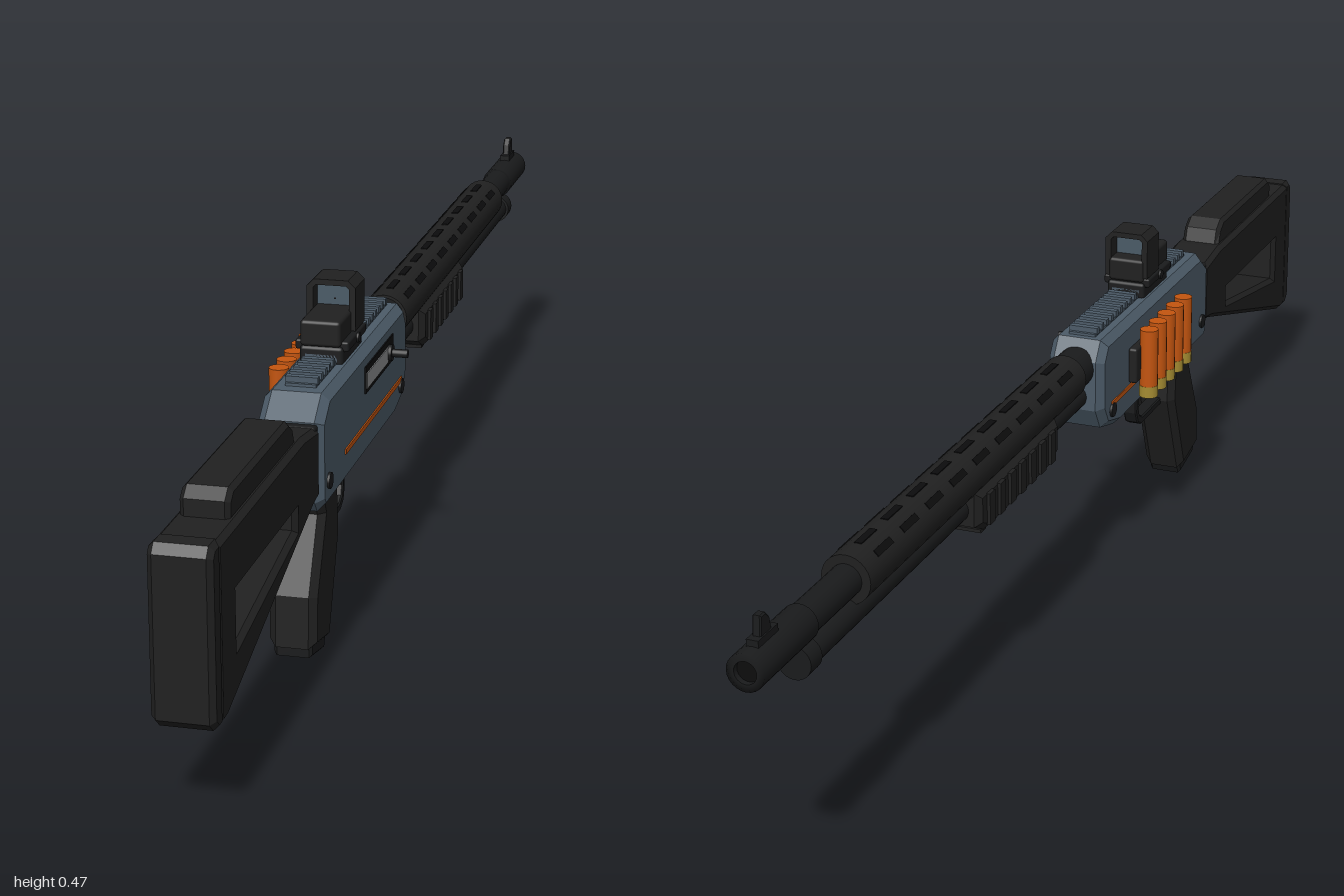
import * as THREE from 'three';
import { RoundedBoxGeometry } from 'three/addons/geometries/RoundedBoxGeometry.js';

const material = (name, color, side = THREE.FrontSide) => {
  const m = new THREE.MeshStandardMaterial({ color, side });
  m.name = name;
  return m;
};

export function createModel() {
  const gun = new THREE.Group();
  gun.name = 'shotgun';
  const polymer = material('black polymer', 0x202020);
  const metal = material('dark metal', 0x1a1b1c);
  const recess = material('recess black', 0x0c0c0d);
  const steel = material('blue grey steel', 0x4c5b68);
  const orange = material('orange', 0xc4550f);
  const brass = material('brass', 0xa58c32);
  const bolt = material('bright bolt', 0x8e9092);
  const glass = material('lens', 0x4a5a66);

  const add = (name, geometry, mat, x = 0, y = 0, z = 0) => {
    const mesh = new THREE.Mesh(geometry, mat);
    mesh.name = name;
    mesh.position.set(x, y, z);
    gun.add(mesh);
    return mesh;
  };
  const box = (name, mat, w, h, d, x, y, z) => add(name, new THREE.BoxGeometry(w, h, d), mat, x, y, z);
  const rounded = (name, mat, w, h, d, x, y, z, r = 0.005) =>
    add(name, new RoundedBoxGeometry(w, h, d, 2, r), mat, x, y, z);
  // Cylinder lying along z, between two z values
  const tubeZ = (name, mat, r, z0, z1, y, sides = 24, x = 0) =>
    add(name, new THREE.CylinderGeometry(r, r, Math.abs(z1 - z0), sides).rotateX(Math.PI / 2), mat, x, y, (z0 + z1) / 2);
  // Cylinder lying along x
  const pinX = (name, mat, r, length, x, y, z) =>
    add(name, new THREE.CylinderGeometry(r, r, length, 16).rotateZ(Math.PI / 2), mat, x, y, z);
  // Side outline given as [z, y], extruded across x with bevelled edges
  const slab = (name, mat, points, width, bevel = 0.008, hole) => {
    const shape = new THREE.Shape(points.map(([z, y]) => new THREE.Vector2(z, y)));
    if (hole) shape.holes.push(new THREE.Path(hole.map(([z, y]) => new THREE.Vector2(z, y))));
    const g = new THREE.ExtrudeGeometry(shape, {
      depth: width - 2 * bevel, bevelEnabled: bevel > 0, bevelThickness: bevel,
      bevelSize: bevel, bevelOffset: -bevel, bevelSegments: 1,
    });
    g.translate(0, 0, bevel - width / 2).rotateY(-Math.PI / 2);
    return add(name, g, mat);
  };

  // Skeleton stock, butt pad and cheek rest
  slab('stock', polymer,
    [[0.525, 0.245], [0.56, 0.24], [0.95, 0.123], [0.975, 0.123], [0.975, 0.35], [0.6, 0.35], [0.525, 0.34]],
    0.08, 0.007, [[0.64, 0.265], [0.906, 0.265], [0.906, 0.195], [0.64, 0.24]]);
  slab('buttPad', polymer,
    [[0.965, 0.122], [0.985, 0.122], [1, 0.135], [1, 0.34], [0.99, 0.352], [0.965, 0.352]], 0.079, 0.007);
  slab('cheekRest', polymer, [[0.61, 0.345], [0.9, 0.345], [0.9, 0.372], [0.885, 0.385], [0.64, 0.385], [0.62, 0.372]], 0.062, 0.006);
  rounded('stockCollar', metal, 0.074, 0.1, 0.02, 0, 0.293, 0.53);

  // Receiver
  slab('receiver', steel,
    [[0.527, 0.235], [0.515, 0.22], [0.115, 0.22], [0.06, 0.235], [0.04, 0.268], [0.04, 0.345],
      [0.06, 0.374], [0.49, 0.374], [0.527, 0.345]], 0.088, 0.011);

  // Top rail with cross ribs
  box('railBase', steel, 0.042, 0.008, 0.4, 0, 0.374, 0.27);
  for (let i = 0; i < 20; i++) box('railRib', steel, 0.044, 0.01, 0.01, 0, 0.381, 0.08 + i * 0.02);

  // Stripes and pins on both sides
  for (const s of [-1, 1]) {
    box('stripe', orange, 0.003, 0.007, 0.33, s * 0.0445, 0.267, 0.245);
    for (const z of [0.495, 0.083]) pinX('receiverPin', metal, 0.011, 0.006, s * 0.0445, 0.257, z);
  }

  // Ejection port, bolt and charging handle
  box('ejectionPort', recess, 0.004, 0.038, 0.165, 0.044, 0.332, 0.217);
  box('boltFace', bolt, 0.004, 0.022, 0.125, 0.0455, 0.331, 0.235);
  pinX('handleCollar', metal, 0.012, 0.01, 0.047, 0.332, 0.165);
  pinX('chargingHandle', metal, 0.006, 0.032, 0.058, 0.332, 0.165);

  // Loading gate under the receiver
  box('loadingGate', orange, 0.042, 0.018, 0.115, 0, 0.216, 0.233);

  // Barrel, muzzle and magazine tube
  tubeZ('barrel', metal, 0.022, 0.06, -0.99, 0.333);
  const ring = [[0.015, -0.07], [0.025, -0.07], [0.025, 0.07], [0.015, 0.07], [0.015, -0.07]];
  add('muzzleCollar', new THREE.LatheGeometry(ring.map(([r, y]) => new THREE.Vector2(r, y)), 24).rotateX(Math.PI / 2),
    metal, 0, 0.333, -0.93).material = metal;
  add('bore', new THREE.CircleGeometry(0.016, 20).rotateY(Math.PI), recess, 0, 0.333, -0.992);
  tubeZ('magazineTube', metal, 0.019, 0.06, -0.86, 0.288);
  tubeZ('magazineCap', metal, 0.023, -0.85, -0.88, 0.288);
  tubeZ('barrelRoot', metal, 0.03, 0.05, 0, 0.333);

  // Heat shield with three rows of vent slots
  tubeZ('heatShield', polymer, 0.034, 0, -0.735, 0.333, 28);
  for (const angle of [-0.8, 0, 0.8]) {
    for (let i = 0; i < 9; i++) {
      const slot = box('ventSlot', recess, 0.01, 0.003, 0.045,
        Math.sin(angle) * 0.0335, 0.333 + Math.cos(angle) * 0.0335, -0.06 - i * 0.077);
      slot.rotation.z = -angle;
    }
  }

  // Front sight
  box('sightBase', metal, 0.016, 0.012, 0.05, 0, 0.36, -0.955);
  slab('frontSight', metal, [[-0.94, 0.358], [-0.945, 0.382], [-0.955, 0.392], [-0.967, 0.392], [-0.97, 0.358]], 0.012, 0.002);

  // Pump with side and bottom ribs
  slab('pump', polymer,
    [[-0.11, 0.315], [-0.11, 0.265], [-0.14, 0.25], [-0.37, 0.25], [-0.4, 0.265], [-0.4, 0.315]], 0.072, 0.009);
  for (let i = 0; i < 7; i++) {
    const z = -0.145 - i * 0.037;
    for (const s of [-1, 1]) box('pumpRib', polymer, 0.007, 0.046, 0.018, s * 0.037, 0.284, z);
    box('pumpBottomRib', polymer, 0.052, 0.005, 0.018, 0, 0.249, z);
  }

  // Pistol grip
  slab('grip', polymer,
    [[0.49, 0.235], [0.475, 0.2], [0.523, 0.1], [0.527, 0.028], [0.447, 0.012], [0.393, 0.15], [0.4, 0.235]], 0.065, 0.01);
  slab('gripCap', metal, [[0.522, 0.035], [0.522, 0.014], [0.455, 0], [0.447, 0.02]], 0.052, 0.004);

  // Trigger guard and trigger
  const outer = [[0.42, 0.225], [0.42, 0.15], [0.405, 0.143], [0.305, 0.143], [0.288, 0.152], [0.28, 0.17], [0.28, 0.225]];
  const inner = [[0.408, 0.226], [0.408, 0.155], [0.31, 0.155], [0.297, 0.162], [0.292, 0.175], [0.292, 0.226]];
  slab('triggerGuard', metal, [...outer, ...inner.reverse()], 0.022, 0.002);
  slab('trigger', metal, [[0.395, 0.225], [0.378, 0.225], [0.38, 0.195], [0.368, 0.17], [0.376, 0.168], [0.39, 0.19]], 0.012, 0.001);

  // Side shell carrier
  rounded('shellCarrier', polymer, 0.014, 0.056, 0.215, -0.05, 0.302, 0.26, 0.004);
  for (let i = 0; i < 5; i++) {
    const z = 0.181 + i * 0.039;
    add('shellBody', new THREE.CylinderGeometry(0.014, 0.014, 0.09, 16), orange, -0.0665, 0.31, z);
    add('shellBase', new THREE.CylinderGeometry(0.0145, 0.0145, 0.018, 16), brass, -0.0665, 0.256, z);
  }

  // Reflex sight: clamp, body, hood and lens
  rounded('sightMount', metal, 0.06, 0.026, 0.11, 0, 0.384, 0.31);
  rounded('sightClamp', metal, 0.074, 0.014, 0.1, 0, 0.397, 0.31, 0.003);
  rounded('sightBody', polymer, 0.056, 0.036, 0.115, 0, 0.416, 0.313);
  const hood = new THREE.Shape();
  const corners = [[-0.034, 0.405], [0.034, 0.405], [0.034, 0.465], [0.024, 0.475], [-0.024, 0.475], [-0.034, 0.465]];
  hood.setFromPoints(corners.map(([x, y]) => new THREE.Vector2(x, y)));
  const opening = [[-0.025, 0.418], [-0.025, 0.463], [-0.021, 0.467], [0.021, 0.467], [0.025, 0.463], [0.025, 0.418]];
  hood.holes.push(new THREE.Path(opening.map(([x, y]) => new THREE.Vector2(x, y))));
  add('sightHood', new THREE.ExtrudeGeometry(hood, { depth: 0.052, bevelEnabled: false }), polymer, 0, 0, 0.258);
  box('lens', glass, 0.051, 0.05, 0.004, 0, 0.442, 0.285);
  add('aimingDot', new THREE.CircleGeometry(0.0015, 8), recess, 0, 0.443, 0.2875);
  for (const s of [-1, 1]) pinX('clampScrew', metal, 0.007, 0.006, s * 0.037, 0.397, 0.31);

  gun.children.forEach((part) => { part.position.x += 0.002; });
  return gun;
}
